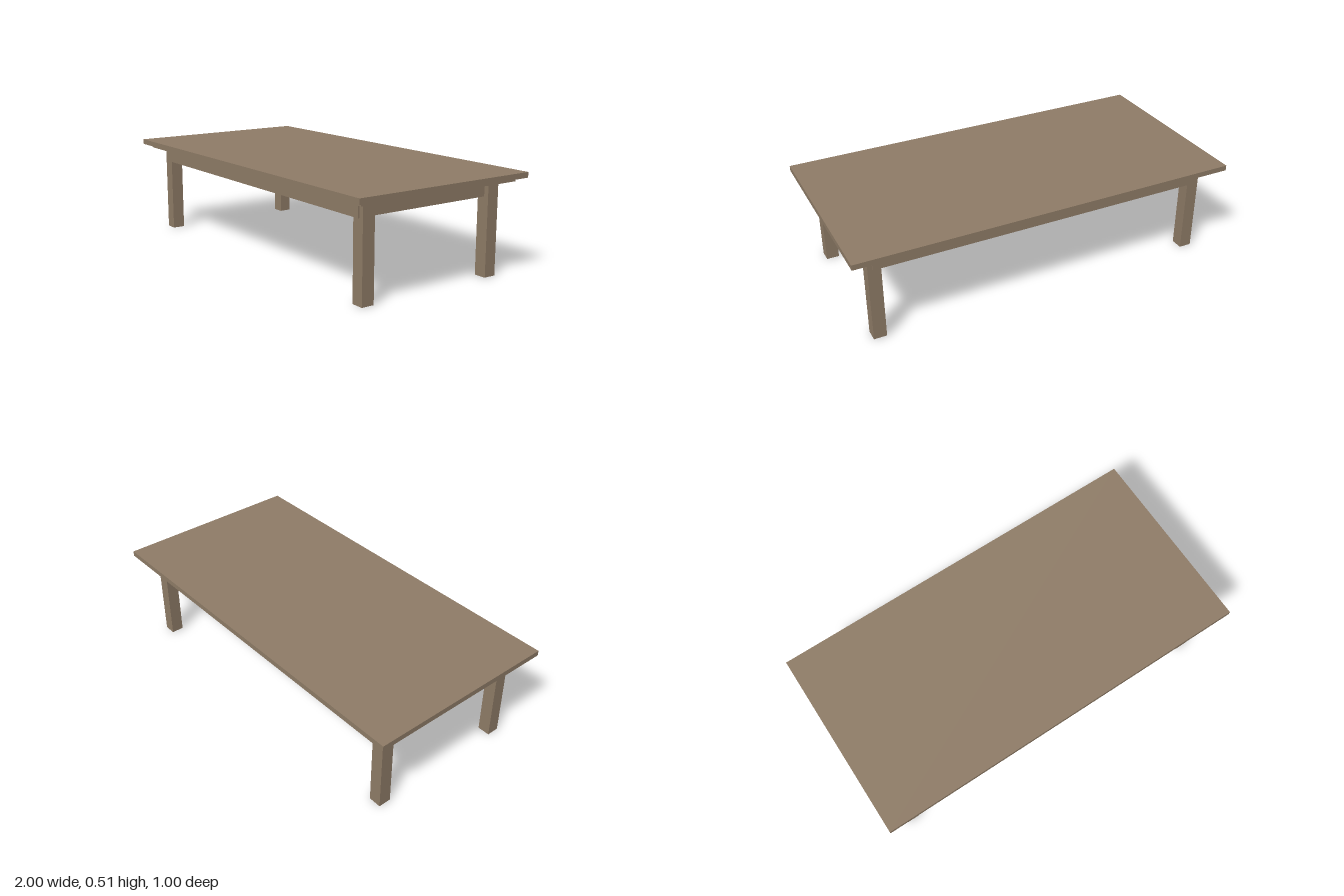
import * as THREE from 'three';

export function createModel() {
  const table = new THREE.Group();
  table.name = 'lowTable';
  const wood = new THREE.MeshStandardMaterial({ color: 0x8f7c67 });
  wood.name = 'brown wood';

  // Box standing on height y0 and reaching y1
  function box(name, width, depth, y0, y1, x = 0, z = 0) {
    const mesh = new THREE.Mesh(new THREE.BoxGeometry(width, y1 - y0, depth), wood);
    mesh.name = name;
    mesh.position.set(x, (y0 + y1) / 2, z);
    table.add(mesh);
  }

  // Top board with a smaller board beneath it
  box('tableTop', 2, 1, 0.48, 0.507);
  box('underTop', 1.92, 0.92, 0.461, 0.48);

  // Aprons: long rails stand slightly proud of the legs, short rails sit between
  for (const s of [-1, 1]) {
    box(s > 0 ? 'frontApron' : 'backApron', 1.765, 0.04, 0.39, 0.461, 0, s * 0.393);
    box(s > 0 ? 'leftApron' : 'rightApron', 0.04, 0.746, 0.39, 0.461, s * 0.86, 0);
  }

  // Square legs
  for (const sx of [-1, 1]) {
    for (const sz of [-1, 1]) {
      const name = (sz > 0 ? 'front' : 'back') + (sx > 0 ? 'Left' : 'Right') + 'Leg';
      box(name, 0.065, 0.065, 0, 0.461, sx * 0.8725, sz * 0.3725);
    }
  }
  return table;
}
